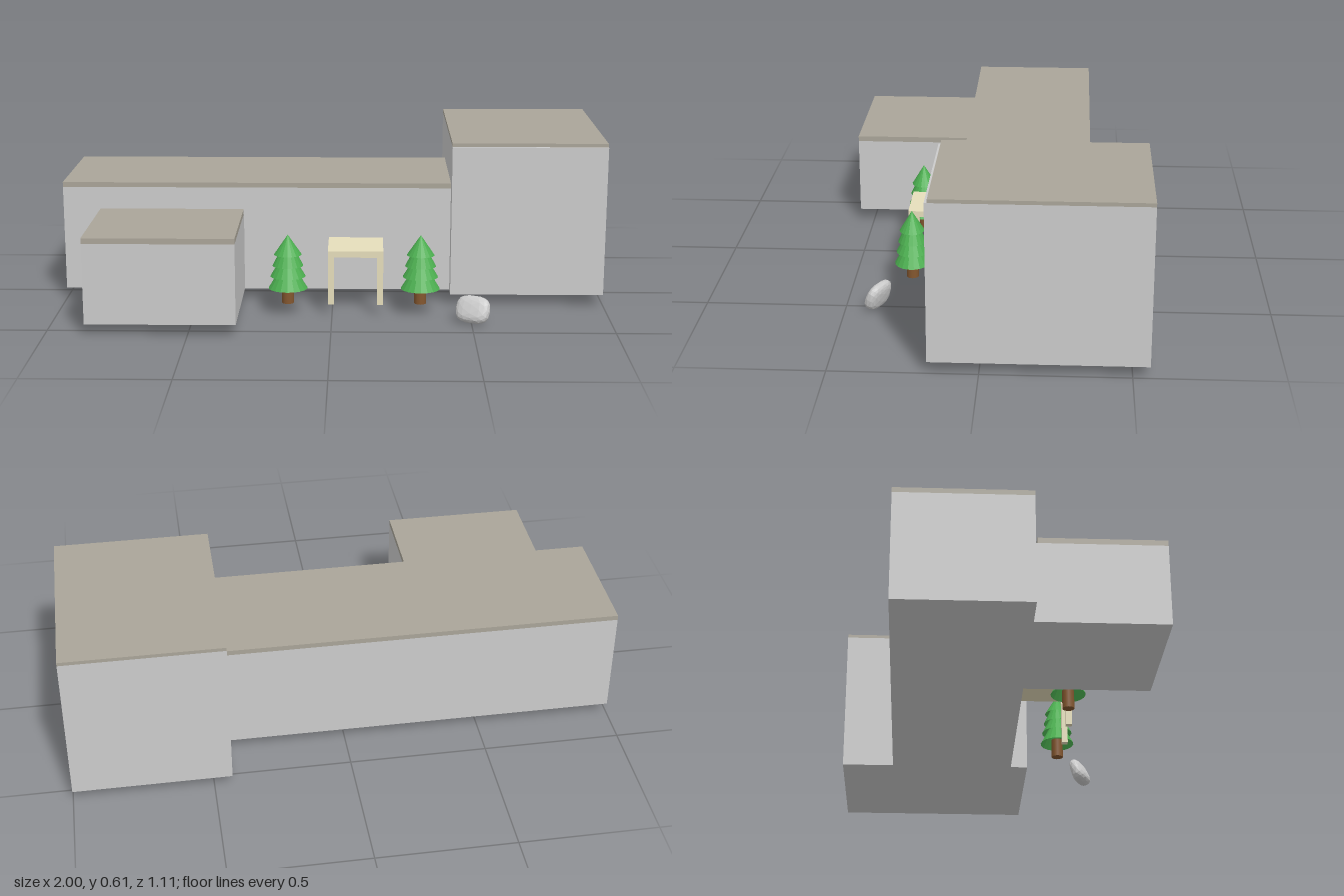
import * as THREE from 'three';

const material = (color, extra = {}) => new THREE.MeshStandardMaterial({ color, ...extra });
const wallMat = material(0xcccccc);
const roofMat = material(0xaaa599);
const creamMat = material(0xe6debb);
const trunkMat = material(0x84572f);
const leafMat = material(0x4caf50, { flatShading: true, side: THREE.DoubleSide });
const stoneMat = material(0xcccccc, { flatShading: true });

const GROUND = 0.045;

// Box given by its min and max corners
function block(name, [x0, y0, z0], [x1, y1, z1], mat) {
  const mesh = new THREE.Mesh(new THREE.BoxGeometry(x1 - x0, y1 - y0, z1 - z0), mat);
  mesh.position.set((x0 + x1) / 2, (y0 + y1) / 2, (z0 + z1) / 2);
  mesh.name = name;
  return mesh;
}

// Walls with a thin roof slab; the slab may be set in at front or back
function building(name, x0, x1, z0, z1, wallTop, roofTop, roofBack = z0, roofFront = z1) {
  const group = new THREE.Group();
  group.name = name;
  group.add(
    block(name + 'Walls', [x0, GROUND, z0], [x1, wallTop, z1], wallMat),
    block(name + 'Roof', [x0, wallTop, roofBack], [x1, roofTop, roofFront], roofMat)
  );
  return group;
}

// Flat porch roof on two front posts
function porch() {
  const group = new THREE.Group();
  group.name = 'porch';
  group.add(block('porchRoof', [-0.015, 0.222, 0.105], [0.185, 0.245, 0.307], creamMat));
  for (const x of [-0.015, 0.163]) {
    group.add(block('porchPost', [x, GROUND, 0.285], [x + 0.022, 0.222, 0.307], creamMat));
  }
  return group;
}

// Conifer with stacked open skirts
function tree(x, z) {
  const group = new THREE.Group();
  group.name = 'tree';
  const trunk = new THREE.Mesh(new THREE.CylinderGeometry(0.022, 0.022, 0.07, 12), trunkMat);
  trunk.position.y = 0.035;
  trunk.name = 'trunk';
  group.add(trunk);
  // bottom height, top height, bottom radius, top radius
  const tiers = [
    [0.055, 0.113, 0.071, 0.036],
    [0.1, 0.15, 0.064, 0.034],
    [0.14, 0.193, 0.056, 0.028],
    [0.181, 0.255, 0.05, 0]
  ];
  for (const [y0, y1, rBottom, rTop] of tiers) {
    const skirt = new THREE.Mesh(new THREE.CylinderGeometry(rTop, rBottom, y1 - y0, 18, 1, true), leafMat);
    skirt.position.y = (y0 + y1) / 2;
    skirt.scale.z = 0.9;
    skirt.name = 'foliage';
    group.add(skirt);
  }
  group.position.set(x, GROUND, z);
  return group;
}

// Squared-off boulder, wider at its foot and leaning back
function boulder() {
  const geometry = new THREE.IcosahedronGeometry(1, 2);
  const pos = geometry.attributes.position;
  const square = (v, p) => Math.sign(v) * Math.abs(v) ** p;
  for (let i = 0; i < pos.count; i++) {
    const y = square(pos.getY(i), 0.7);
    const taper = 1 - 0.2 * y;
    pos.setXYZ(i, square(pos.getX(i), 0.7) * 0.064, y * 0.05, square(pos.getZ(i), 0.8) * 0.026 * taper);
  }
  geometry.computeVertexNormals();
  const mesh = new THREE.Mesh(geometry, stoneMat);
  mesh.rotation.set(-0.35, -0.45, 0, 'YXZ');
  mesh.position.set(0.505, 0.054, 0.385);
  mesh.name = 'boulder';
  return mesh;
}

export function createModel() {
  const model = new THREE.Group();
  model.name = 'buildingComplex';
  model.add(
    building('mainHall', -1, 0.437, -0.36, 0.105, 0.433, 0.451),
    building('tower', 0.435, 1, -0.557, 0.17, 0.6, 0.613, -0.557, 0.16),
    building('annex', -0.86, -0.33, 0.105, 0.555, 0.335, 0.355, 0.12, 0.555),
    porch(),
    tree(-0.16, 0.28),
    tree(0.32, 0.28),
    boulder()
  );
  return model;
}
